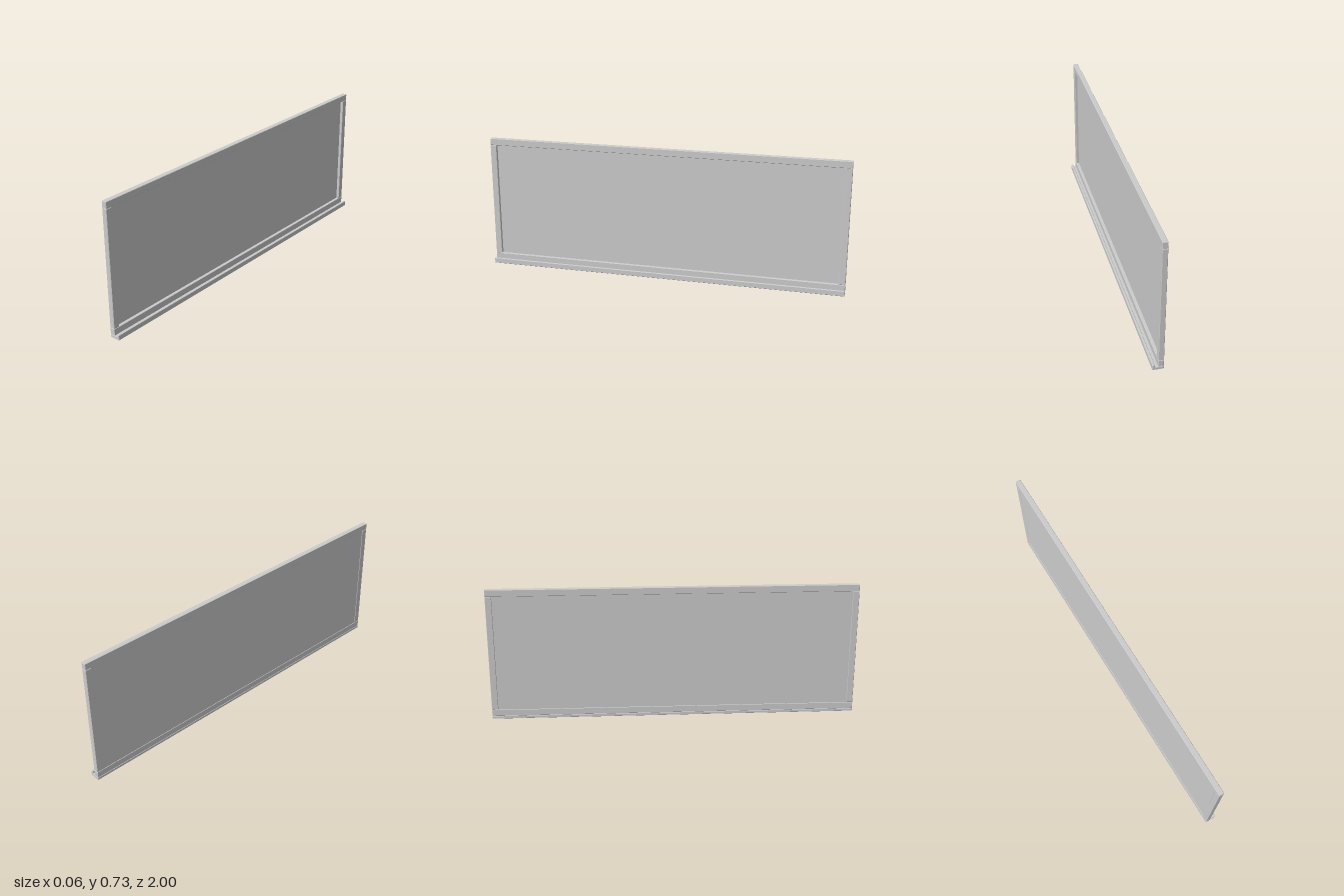
import * as THREE from 'three';

const BEVEL = 0.002;
const BACK = -0.029, FACE = -0.001; // frame thickness along x
const TOP = 0.732, RAIL_TOP = 0.695, RAIL_BOTTOM = 0.053, TRAY_TOP = 0.016;
const STILE = 0.035;

// Profile in x/y with every corner cut by a small chamfer
function chamferedShape(points, c) {
  const p = points.map(([x, y]) => new THREE.Vector2(x, y));
  const out = [];
  p.forEach((corner, i) => {
    for (const other of [p[(i + p.length - 1) % p.length], p[(i + 1) % p.length]]) {
      out.push(corner.clone().add(other.clone().sub(corner).setLength(c)));
    }
  });
  return new THREE.Shape(out);
}

// Bar with chamfered edges, extruded along z between z0 and z1
function bar(name, points, z0, z1, material) {
  const geometry = new THREE.ExtrudeGeometry(chamferedShape(points, BEVEL), {
    depth: z1 - z0 - 2 * BEVEL,
    bevelEnabled: true,
    bevelThickness: BEVEL,
    bevelSize: BEVEL,
    bevelOffset: -BEVEL,
    bevelSegments: 1,
  });
  geometry.translate(0, 0, z0 + BEVEL);
  const mesh = new THREE.Mesh(geometry, material);
  mesh.name = name;
  return mesh;
}

const rect = (x0, y0, x1, y1) => [[x0, y0], [x1, y0], [x1, y1], [x0, y1]];

export function createModel() {
  const group = new THREE.Group();
  group.name = 'framedBoard';
  const material = new THREE.MeshStandardMaterial({ color: 0xcccccc, flatShading: true });

  // Horizontal rails run the full length
  group.add(bar('topRail', rect(BACK, RAIL_TOP, FACE, TOP), -1, 1, material));
  group.add(bar('bottomRail', rect(BACK, TRAY_TOP, FACE, RAIL_BOTTOM), -1, 1, material));

  // Upright stiles fit between the rails at both ends
  for (const [name, z0] of [['frontStile', 1 - STILE], ['backStile', -1]]) {
    group.add(bar(name, rect(BACK, RAIL_BOTTOM, FACE, RAIL_TOP), z0, z0 + STILE, material));
  }

  // Ledge under the frame with an upturned lip
  const tray = [[BACK, 0], [0.028, 0], [0.028, 0.029], [0.016, 0.029], [0.016, TRAY_TOP], [BACK, TRAY_TOP]];
  group.add(bar('trayLedge', tray, -1, 1, material));

  // Thin panel set near the back of the frame
  const panel = new THREE.Mesh(
    new THREE.BoxGeometry(0.01, RAIL_TOP - RAIL_BOTTOM + 0.01, 2 - 2 * STILE + 0.01), material);
  panel.name = 'panel';
  panel.position.set(-0.022, (RAIL_TOP + RAIL_BOTTOM) / 2, 0);
  group.add(panel);

  return group;
}
